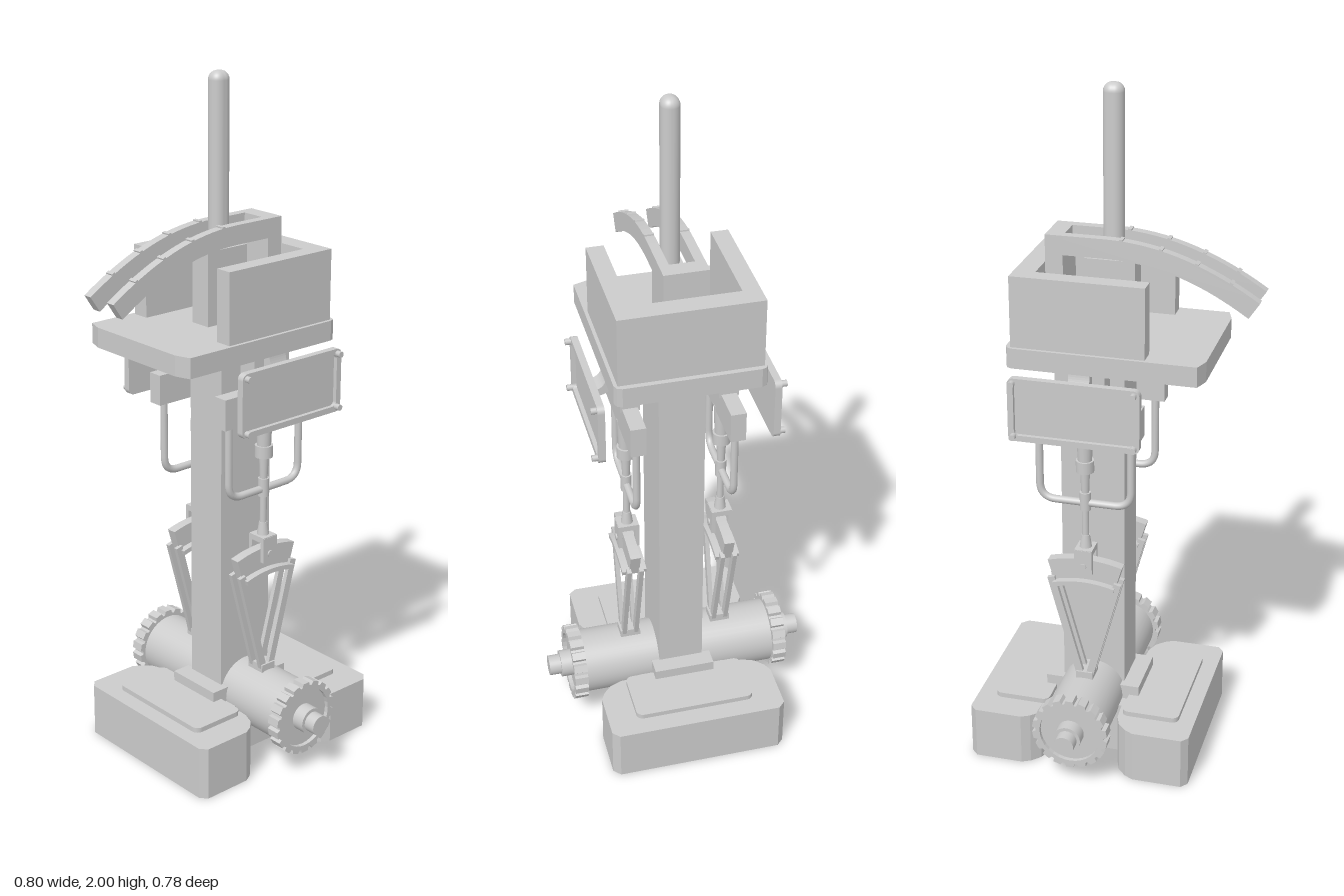
import * as THREE from 'three';
import { RoundedBoxGeometry } from 'three/addons/geometries/RoundedBoxGeometry.js';

const grey = new THREE.MeshStandardMaterial({ color: 0xcccccc });
const greyOpen = new THREE.MeshStandardMaterial({ color: 0xcccccc, side: THREE.DoubleSide });
const AXIS = 0.065; // x of the drum, rods and fans

function add(parent, name, geometry, x = 0, y = 0, z = 0, material = grey) {
  const mesh = new THREE.Mesh(geometry, material);
  mesh.name = name;
  mesh.position.set(x, y, z);
  parent.add(mesh);
  return mesh;
}

// box given by its limits on each axis
function box(parent, name, x0, x1, y0, y1, z0, z1) {
  return add(parent, name, new THREE.BoxGeometry(x1 - x0, y1 - y0, z1 - z0),
    (x0 + x1) / 2, (y0 + y1) / 2, (z0 + z1) / 2);
}

const shapeOf = pts => new THREE.Shape(pts.map(p => new THREE.Vector2(p[0], p[1])));

function extrude(shape, depth, curveSegments = 16) {
  return new THREE.ExtrudeGeometry(shape, { depth, bevelEnabled: false, curveSegments });
}

// plan outline (x, z) raised upward
const slab = (shape, height) => extrude(shape, height).rotateX(-Math.PI / 2);

function rodY(parent, name, r0, r1, y0, y1, x, z, sides = 16) {
  return add(parent, name, new THREE.CylinderGeometry(r1, r0, y1 - y0, sides), x, (y0 + y1) / 2, z);
}

function rodZ(parent, name, r, z0, z1, x, y, sides = 32) {
  return add(parent, name, new THREE.CylinderGeometry(r, r, z1 - z0, sides).rotateX(Math.PI / 2), x, y, (z0 + z1) / 2);
}

function roundRect(x0, x1, y0, y1, r, Type = THREE.Shape) {
  const s = new Type();
  s.absarc(x1 - r, y1 - r, r, 0, Math.PI / 2);
  s.absarc(x0 + r, y1 - r, r, Math.PI / 2, Math.PI);
  s.absarc(x0 + r, y0 + r, r, Math.PI, 1.5 * Math.PI);
  s.absarc(x1 - r, y0 + r, r, 1.5 * Math.PI, 2 * Math.PI);
  s.closePath();
  return s;
}

// annular sector about the origin, centred on +y
function sector(r0, r1, half) {
  const s = new THREE.Shape();
  s.absarc(0, 0, r1, Math.PI / 2 - half, Math.PI / 2 + half, false);
  s.absarc(0, 0, r0, Math.PI / 2 + half, Math.PI / 2 - half, true);
  s.closePath();
  return s;
}

function gearShape() {
  const pts = [], teeth = 18;
  for (let i = 0; i < teeth; i++) {
    [[0.1, 0.102], [0.22, 0.113], [0.78, 0.113], [0.9, 0.102]].forEach(([t, r]) => {
      const a = (i + t) / teeth * Math.PI * 2;
      pts.push([Math.cos(a) * r, Math.sin(a) * r]);
    });
  }
  const s = shapeOf(pts);
  s.holes.push(new THREE.Path().absarc(0, 0, 0.09, 0, Math.PI * 2, true));
  return s;
}

// hollow foot with a notch at each end for the drum
function buildBase(root) {
  const g = new THREE.Group();
  g.name = 'base';
  root.add(g);
  const half = [[-0.268, 0.243], [-0.25, 0.263], [-0.105, 0.263], [-0.08, 0.25], [-0.055, 0.225], [-0.042, 0.19],
    [-0.038, 0.13], [0.168, 0.13], [0.172, 0.19], [0.185, 0.225], [0.21, 0.25], [0.235, 0.263], [0.375, 0.263], [0.395, 0.243]];
  const outline = half.concat(half.map(([x, z]) => [x, -z]).reverse());
  const solid = slab(shapeOf(outline), 0.16);
  // drop the underside so the foot stays hollow
  const p = solid.attributes.position, kept = [];
  for (let i = 0; i < p.count; i += 3) {
    if (p.getY(i) + p.getY(i + 1) + p.getY(i + 2) < 1e-4) continue;
    for (let k = 0; k < 3; k++) kept.push(p.getX(i + k), p.getY(i + k), p.getZ(i + k));
  }
  const shell = new THREE.BufferGeometry();
  shell.setAttribute('position', new THREE.Float32BufferAttribute(kept, 3));
  shell.computeVertexNormals();
  add(g, 'footShell', shell, 0, 0, 0, greyOpen);
  for (const [x0, x1] of [[-0.22, -0.05], [0.175, 0.34]])
    add(g, 'treadPlate', slab(roundRect(x0, x1, -0.178, 0.178, 0.02), 0.016), 0, 0.159, 0);
  box(g, 'columnPlinth', -0.08, 0.205, 0.16, 0.205, -0.09, 0.09);
}

// deck, open box, curved rails and lever
function buildHead(root) {
  const g = new THREE.Group();
  g.name = 'head';
  root.add(g);
  const deck = shapeOf([[-0.28, -0.165], [-0.265, -0.21], [0.25, -0.21], [0.264, -0.204], [0.27, -0.19],
    [0.27, 0.19], [0.264, 0.204], [0.25, 0.21], [-0.265, 0.21], [-0.28, 0.165]]);
  add(g, 'deck', slab(deck, 0.058), 0, 1.25, 0);
  box(g, 'deckCollar', -0.045, 0.17, 1.235, 1.25, -0.08, 0.08);
  const u = shapeOf([[-0.12, -0.2], [0.255, -0.2], [0.255, 0.2], [-0.12, 0.2], [-0.12, 0.15],
    [0.195, 0.15], [0.195, -0.15], [-0.12, -0.15]]);
  add(g, 'openBox', slab(u, 0.204), 0, 1.307, 0);

  const rail = new THREE.Shape();
  rail.moveTo(0.195, 1.588);
  rail.lineTo(0.03, 1.588);
  rail.bezierCurveTo(-0.13, 1.588, -0.27, 1.53, -0.4, 1.445);
  rail.lineTo(-0.37, 1.4);
  rail.bezierCurveTo(-0.25, 1.48, -0.13, 1.533, 0.03, 1.533);
  rail.lineTo(0.195, 1.533);
  const railTop = new THREE.CubicBezierCurve3(new THREE.Vector3(0.03, 1.588, 0), new THREE.Vector3(-0.13, 1.588, 0),
    new THREE.Vector3(-0.27, 1.53, 0), new THREE.Vector3(-0.4, 1.445, 0));
  for (const s of [-1, 1]) {
    add(g, 'curvedRail', extrude(rail, 0.027), 0, 0, s * 0.0485 - 0.0135);
    for (const t of [0.1, 0.34, 0.57, 0.8]) {
      const pt = railTop.getPoint(t), d = railTop.getTangent(t);
      add(g, 'railRidge', new THREE.BoxGeometry(0.01, 0.008, 0.027), pt.x, pt.y, s * 0.0485)
        .rotation.z = Math.atan2(-d.y, -d.x);
    }
  }
  box(g, 'railPost', 0.145, 0.195, 1.307, 1.588, -0.062, 0.062);
  box(g, 'leverCarriage', -0.05, 0.093, 1.307, 1.52, -0.033, 0.033);
  add(g, 'lever', new RoundedBoxGeometry(0.058, 0.5, 0.052, 6, 0.025), 0.017, 1.75, 0);
}

// drum end, linkage and side panel, built facing +z
function buildSide() {
  const g = new THREE.Group();
  // gear, collar and shaft
  add(g, 'gearRim', extrude(gearShape(), 0.04), AXIS, 0.172, 0.29);
  rodZ(g, 'gearDisc', 0.092, 0.285, 0.318, AXIS, 0.172, 40);
  rodZ(g, 'collar', 0.04, 0.31, 0.357, AXIS, 0.172);
  rodZ(g, 'shaftEnd', 0.03, 0.35, 0.392, AXIS, 0.172);

  // V-shaped fan standing on the drum
  const Z = 0.14;
  box(g, 'fanLug', AXIS - 0.025, AXIS + 0.025, 0.25, 0.285, Z - 0.03, Z + 0.03);
  for (const s of [-1, 1]) {
    for (const t of [-1, 1]) {
      const arm = add(g, 'fanArm', new THREE.BoxGeometry(0.022, 0.33, 0.013), AXIS + s * 0.056, 0.43, Z + t * 0.018);
      arm.rotation.z = -s * 0.262;
    }
  }
  add(g, 'fanArc', extrude(sector(0.318, 0.385, 0.29), 0.03), AXIS, 0.27, Z - 0.015);
  add(g, 'fanFlange', extrude(sector(0.308, 0.322, 0.29), 0.072), AXIS, 0.27, Z - 0.036);

  // clevis gripping the arc, and its rod
  for (const t of [-1, 1])
    box(g, 'clevisLeg', AXIS - 0.026, AXIS + 0.026, 0.615, 0.69, Z + t * 0.025 - 0.006, Z + t * 0.025 + 0.006);
  box(g, 'clevisBridge', AXIS - 0.026, AXIS + 0.026, 0.675, 0.692, Z - 0.03, Z + 0.03);
  rodZ(g, 'clevisPin', 0.01, Z - 0.035, Z + 0.035, AXIS, 0.64, 12);
  rodY(g, 'rodFoot', 0.018, 0.012, 0.69, 0.73, AXIS, Z);
  rodY(g, 'lowerRod', 0.01, 0.01, 0.72, 0.82, AXIS, Z);
  rodY(g, 'rodJoint', 0.016, 0.016, 0.81, 0.865, AXIS, Z);
  rodY(g, 'upperRod', 0.011, 0.015, 0.86, 0.95, AXIS, Z);
  rodY(g, 'rodSocket', 0.026, 0.026, 0.93, 0.965, AXIS, Z);
  rodY(g, 'rodSleeve', 0.02, 0.024, 0.96, 1.06, AXIS, Z);

  // hanger under the deck with the tube loop
  box(g, 'hangerBlock', AXIS - 0.065, AXIS + 0.065, 1.13, 1.25, Z - 0.028, Z + 0.028);
  box(g, 'hangerBar', AXIS - 0.165, AXIS + 0.165, 1.05, 1.14, Z - 0.022, Z + 0.022);
  const path = new THREE.CurvePath(), v = (x, y) => new THREE.Vector3(AXIS + x, y, Z);
  path.add(new THREE.LineCurve3(v(-0.133, 1.06), v(-0.133, 0.88)));
  path.add(new THREE.QuadraticBezierCurve3(v(-0.133, 0.88), v(-0.133, 0.832), v(-0.085, 0.832)));
  path.add(new THREE.LineCurve3(v(-0.085, 0.832), v(0.085, 0.832)));
  path.add(new THREE.QuadraticBezierCurve3(v(0.085, 0.832), v(0.133, 0.832), v(0.133, 0.88)));
  path.add(new THREE.LineCurve3(v(0.133, 0.88), v(0.133, 1.06)));
  add(g, 'tubeLoop', new THREE.TubeGeometry(path, 80, 0.011, 10));

  // curved bracket from the hanger to the panel
  const bracket = new THREE.Shape();
  bracket.moveTo(0.16, 1.225);
  bracket.quadraticCurveTo(0.175, 1.17, 0.238, 1.17);
  bracket.lineTo(0.238, 1.19);
  bracket.quadraticCurveTo(0.195, 1.19, 0.19, 1.25);
  bracket.lineTo(0.16, 1.25);
  add(g, 'panelBracket', extrude(bracket, 0.06).rotateY(-Math.PI / 2), AXIS + 0.03, 0, 0);

  // framed panel with corner studs
  add(g, 'panel', extrude(roundRect(-0.11, 0.24, 1.065, 1.235, 0.015), 0.008), 0, 0, 0.234);
  const frame = roundRect(-0.12, 0.25, 1.055, 1.24, 0.018);
  frame.holes.push(roundRect(-0.103, 0.233, 1.072, 1.223, 0.012, THREE.Path));
  add(g, 'panelFrame', extrude(frame, 0.02), 0, 0, 0.234);
  for (const x of [-0.105, 0.234])
    for (const y of [1.07, 1.226]) rodZ(g, 'cornerStud', 0.009, 0.25, 0.27, x, y, 10);
  return g;
}

export function createModel() {
  const root = new THREE.Group();
  root.name = 'leverStand';
  buildBase(root);
  rodZ(root, 'drum', 0.095, -0.29, 0.29, AXIS, 0.17, 40);
  box(root, 'column', -0.03, 0.157, 0.18, 1.25, -0.066, 0.066);
  buildHead(root);
  // the back side is the front side turned about the drum's middle
  for (const [name, turn] of [['frontLinkage', 0], ['backLinkage', Math.PI]]) {
    const side = buildSide();
    side.name = name;
    side.rotation.y = turn;
    side.position.x = turn ? 2 * AXIS : 0;
    root.add(side);
  }
  return root;
}
